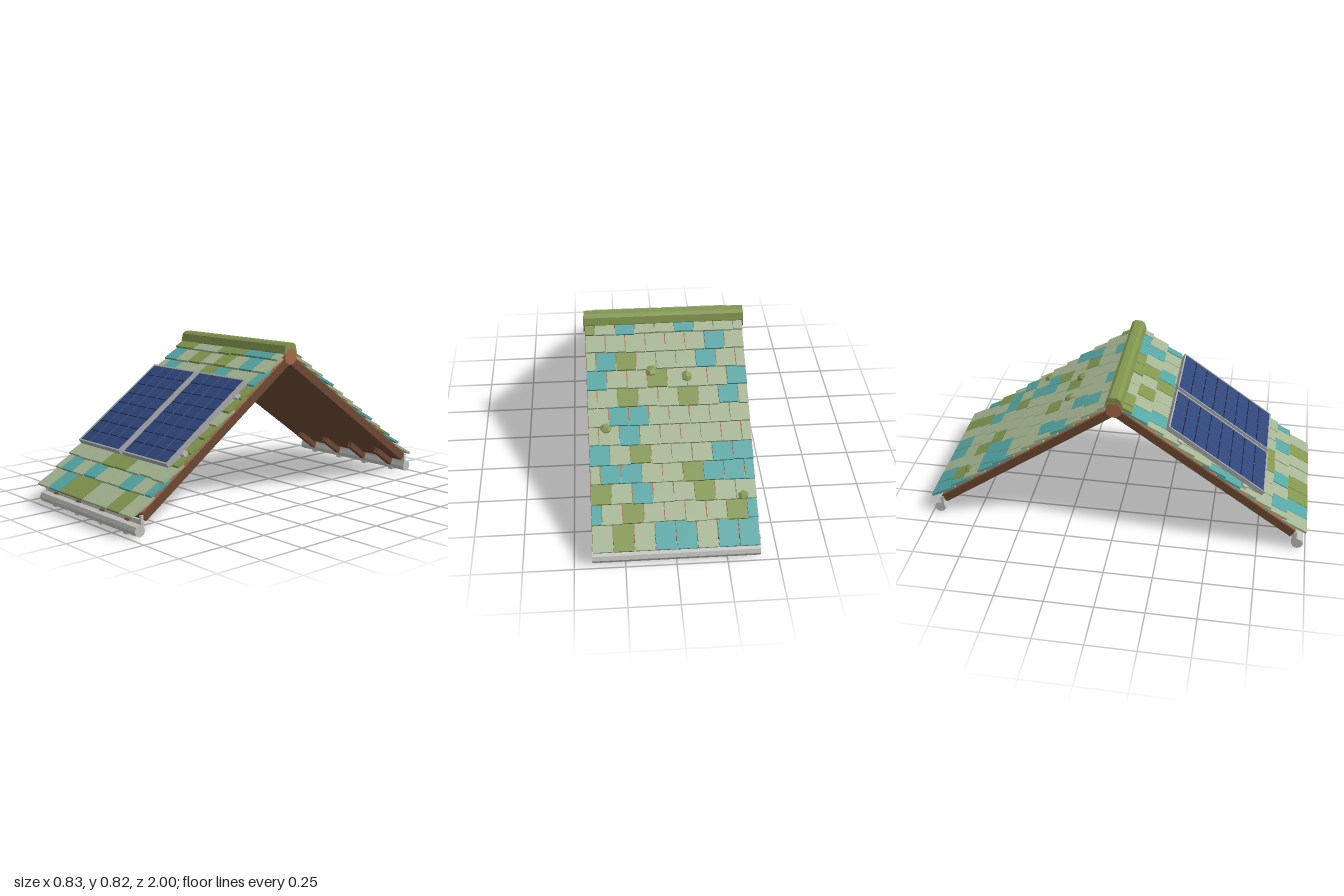
import * as THREE from 'three';

const mat = (name, color, flat = true) => {
  const m = new THREE.MeshStandardMaterial({ color, flatShading: flat });
  m.name = name;
  return m;
};

export function createModel() {
  const sage = mat('sage', 0xa5b592);
  const teal = mat('teal', 0x55a6a4);
  const olive = mat('olive', 0x82964f);
  const darkWood = mat('darkWood', 0x6f4a34);
  const lightWood = mat('lightWood', 0xa86b47);
  const gutterGrey = mat('gutterGrey', 0xc2c2be);
  const frameGrey = mat('frameGrey', 0xa6a8aa);
  const cellBlue = mat('cellBlue', 0x2f4579);
  const navy = mat('navy', 0x161f3c);
  const lineBlue = mat('lineBlue', 0x40588f);
  const tileMats = { S: sage, T: teal, O: olive };

  const SLOPE = THREE.MathUtils.degToRad(35);
  const model = new THREE.Group();
  model.name = 'solarRoof';

  let seed = 7;
  const rand = () => ((seed = (seed * 16807) % 2147483647) / 2147483647);

  // box given by its min and max on each axis
  const box = (parent, name, m, x0, x1, y0, y1, z0, z1) => {
    const mesh = new THREE.Mesh(new THREE.BoxGeometry(x1 - x0, y1 - y0, z1 - z0), m);
    mesh.position.set((x0 + x1) / 2, (y0 + y1) / 2, (z0 + z1) / 2);
    mesh.name = name;
    parent.add(mesh);
    return mesh;
  };

  // tile colours, from eave to ridge, in order of rising world x
  const frontRows = ['STOOSSOS', 'STSTSSTST', 'SSSOOSSS', 'SSSSTSSSO', 'TSSSTSSO', 'TSSSTSSSO',
    'SSSSOSSS', 'SSSSTSSSO', 'SSSSTSSO', 'STSSOTSST', 'TSOSOSTS', 'OOSSOOTTS'];
  const backRows = ['TTSTTSOS', 'TOSSSSOST', 'SSOSSTSO', 'TTTOSSTTS', 'TTSSSOST', 'SSSSSSTSS',
    'SSSSSTTS', 'STSOSSOSS', 'TSSSOSST', 'SSTSSSOTS', 'STSSSSSS', 'SSSTSSTSO'];

  // overlapping shingles; odd rows are shifted by half a tile
  const addTiles = (slope, rows, flip) => {
    const tiles = new THREE.Group();
    tiles.name = 'roofTiles';
    const W = 0.815 / 8;
    rows.forEach((row, k) => {
      const endZ = k === 0 ? 1 : 0.89 - 0.08 * (k - 1);
      const s = (endZ - 0.019) / Math.cos(SLOPE);
      const full = k === 0 ? 0.15 : Math.min(0.135, s - 0.004);
      [...row].forEach((c, i) => {
        const shift = k % 2 ? -0.5 : 0;
        const x0 = Math.max(0, i + shift) * W - 0.4075;
        const x1 = Math.min(8, i + 1 + shift) * W - 0.4075;
        const jitter = k === 0 ? 0 : (rand() - 0.5) * 0.008;
        const g = new THREE.BoxGeometry(x1 - x0 - 0.003 - rand() * 0.003, 0.012, full);
        g.translate(0, -0.006, -full / 2);
        const tile = new THREE.Mesh(g, tileMats[c]);
        tile.name = 'roofTile';
        tile.position.set((flip * (x0 + x1)) / 2, 0.033 + (rand() - 0.5) * 0.003, s + jitter);
        tile.rotation.set(-0.13, (rand() - 0.5) * 0.02, 0);
        tiles.add(tile);
      });
    });
    slope.add(tiles);
  };

  // one half of the roof; slope axes: y is the surface normal, z runs down to the eave
  const addSide = (name, rows, flip) => {
    const side = new THREE.Group();
    side.name = name;
    if (flip < 0) side.rotation.y = Math.PI;
    model.add(side);
    const slope = new THREE.Group();
    slope.name = name + 'Slope';
    slope.position.y = 0.77;
    slope.rotation.x = SLOPE;
    side.add(slope);

    box(slope, 'roofDeck', darkWood, -0.408, 0.408, -0.043, 0, 0, 1.15);
    box(slope, 'underlay', lightWood, -0.405, 0.405, 0, 0.005, 0.02, 1.14);
    addTiles(slope, rows, flip);

    for (const x of [-0.307, -0.102, 0.102, 0.307]) {
      box(slope, 'rafterTail', darkWood, x - 0.016, x + 0.016, -0.073, -0.025, 1.03, 1.19);
      box(side, 'gutterBracket', gutterGrey, x - 0.016, x + 0.016, 0, 0.012, 0.94, 0.965);
    }

    // eave: octagonal gutter with an upright back plate
    const pipe = new THREE.CylinderGeometry(0.03, 0.03, 0.824, 8);
    pipe.rotateZ(Math.PI / 2);
    const gutter = new THREE.Mesh(pipe, gutterGrey);
    gutter.name = 'gutter';
    gutter.position.set(0, 0.036, 0.957);
    side.add(gutter);
    box(side, 'gutterBackPlate', gutterGrey, -0.412, 0.412, 0.04, 0.086, 0.936, 0.95);
    for (const x of [-0.406, 0.406])
      box(side, 'gutterEndStrap', gutterGrey, x - 0.006, x + 0.006, 0.04, 0.108, 0.935, 0.951);
    return slope;
  };

  const front = addSide('frontRoof', frontRows, 1);
  const back = addSide('backRoof', backRows, -1);

  // mounting rails for the panels
  for (const s of [0.376, 0.786])
    box(front, 'panelRail', gutterGrey, -0.386, 0.386, 0.024, 0.042, s - 0.013, s + 0.013);

  // two solar panels, 4 by 8 cells each
  for (const cx of [-0.1915, 0.1915]) {
    const panel = new THREE.Group();
    panel.name = 'solarPanel';
    panel.position.x = cx;
    front.add(panel);
    const hw = 0.1785, s0 = 0.283, s1 = 0.893;
    box(panel, 'panelBody', frameGrey, -hw, hw, 0.041, 0.061, s0, s1);
    for (const d of [-1, 1]) {
      const edge = d * (hw - 0.004);
      box(panel, 'frameSide', frameGrey, edge - 0.004, edge + 0.004, 0.06, 0.067, s0, s1);
      const end = d < 0 ? s0 : s1 - 0.009;
      box(panel, 'frameEnd', frameGrey, -hw, hw, 0.06, 0.067, end, end + 0.009);
    }
    box(panel, 'panelBacking', navy, -hw + 0.008, hw - 0.008, 0.06, 0.063, s0 + 0.009, s1 - 0.009);
    const cw = (2 * hw - 0.016) / 4, cl = (s1 - s0 - 0.018) / 8;
    for (let i = 0; i < 4; i++) {
      const x = -hw + 0.008 + i * cw;
      for (let j = 0; j < 8; j++) {
        const z = s0 + 0.009 + j * cl;
        box(panel, 'solarCell', cellBlue, x + 0.003, x + cw - 0.003, 0.062, 0.0655, z + 0.003, z + cl - 0.003);
      }
      if (i) box(panel, 'cellDivider', lineBlue, x - 0.0018, x + 0.0018, 0.062, 0.0665, s0 + 0.009, s1 - 0.009);
    }
  }

  // moss clumps on the back slope: [world x, distance from ridge, radius]
  for (const [x, z, r] of [[-0.34, 0.8, 0.027], [0.32, 0.5, 0.029], [-0.1, 0.29, 0.03], [0.08, 0.26, 0.031]]) {
    const moss = new THREE.Mesh(new THREE.DodecahedronGeometry(r, 0), olive);
    moss.name = 'mossClump';
    moss.scale.set(1, 0.45, 0.95);
    moss.rotation.y = x * 9;
    moss.position.set(-x, 0.036, (z - 0.02) / Math.cos(SLOPE));
    back.add(moss);
  }

  // ridge: faceted cap over a round beam
  const half = [[0.018, 0.825], [0.035, 0.812], [0.045, 0.775], [0.04, 0.765]];
  const outline = [...half, ...half.map(([z, y]) => [-z, y]).reverse()];
  const capShape = new THREE.Shape(outline.map(([z, y]) => new THREE.Vector2(z, y)));
  const capGeo = new THREE.ExtrudeGeometry(capShape, { depth: 0.824, bevelEnabled: false });
  capGeo.translate(0, 0, -0.412);
  capGeo.rotateY(Math.PI / 2);
  const cap = new THREE.Mesh(capGeo, olive);
  cap.name = 'ridgeCap';
  model.add(cap);

  const beamGeo = new THREE.CylinderGeometry(0.042, 0.042, 0.83, 10);
  beamGeo.rotateZ(Math.PI / 2);
  const beam = new THREE.Mesh(beamGeo, lightWood);
  beam.name = 'ridgeBeam';
  beam.position.y = 0.755;
  model.add(beam);

  return model;
}
